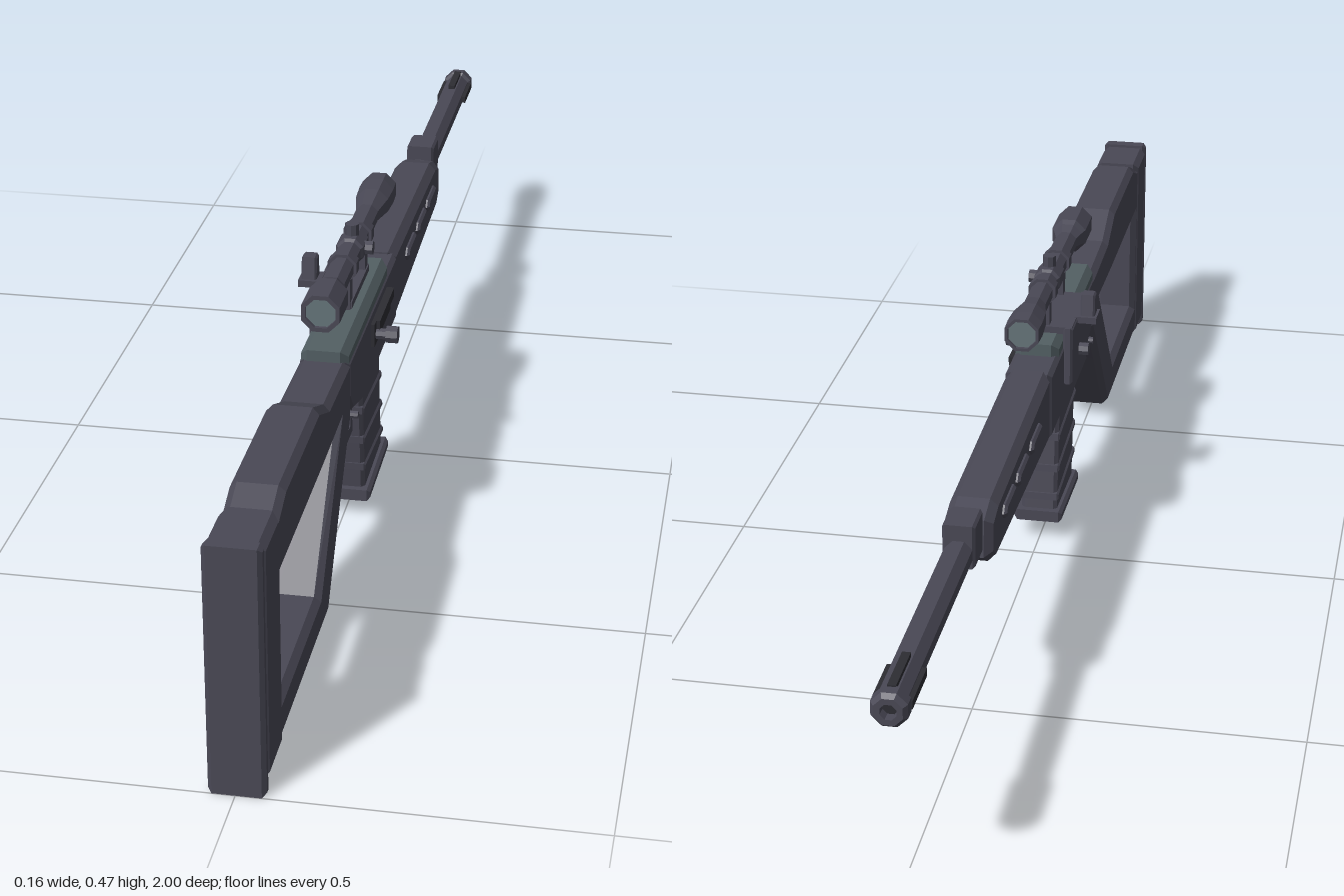
import * as THREE from 'three';

const mat = (name, color) => {
  const m = new THREE.MeshStandardMaterial({ color, flatShading: true });
  m.name = name;
  return m;
};

export function createModel() {
  const body = mat('darkSlate', 0x4a4956);
  const cover = mat('greenGrey', 0x536064);
  const glass = mat('lensGrey', 0x66757a);
  const black = mat('nearBlack', 0x2d2d33);

  const group = new THREE.Group();
  group.name = 'rifle';
  const CX = 0.002;

  const add = (name, geo, material = body) => {
    const m = new THREE.Mesh(geo, material);
    m.name = name;
    group.add(m);
    return m;
  };

  // Side profile in [z, y], extruded across x between x0 and x1 with chamfered edges
  const outline = (pts, Type) => new Type(pts.map(([z, y]) => new THREE.Vector2(-z, y)));
  const slab = (name, pts, x0, x1, bevel = 0.01, material = body, hole) => {
    const shape = outline(pts, THREE.Shape);
    if (hole) shape.holes.push(outline(hole, THREE.Path));
    const geo = new THREE.ExtrudeGeometry(shape, {
      depth: x1 - x0 - 2 * bevel, bevelEnabled: bevel > 0, bevelSegments: 1,
      bevelSize: bevel, bevelThickness: bevel, bevelOffset: -bevel,
    });
    geo.rotateY(Math.PI / 2).translate(x0 + bevel, 0, 0);
    return add(name, geo, material);
  };
  const rect = (z0, z1, y0, y1) => [[z0, y0], [z1, y0], [z1, y1], [z0, y1]];
  const box = (name, x0, x1, y0, y1, z0, z1, material = body) =>
    add(name, new THREE.BoxGeometry(x1 - x0, y1 - y0, z1 - z0)
      .translate((x0 + x1) / 2, (y0 + y1) / 2, (z0 + z1) / 2), material);

  // Eight-sided turned part along z, profile in [radius, z] with z rising
  const turned = (name, pts, y, material = body) =>
    add(name, new THREE.LatheGeometry(pts.map(p => new THREE.Vector2(...p)), 8, Math.PI / 8)
      .rotateX(Math.PI / 2).translate(CX, y, 0), material);
  // Short cylinder along x or y
  const peg = (name, r, len, axis, x, y, z, material = body) => {
    const geo = new THREE.CylinderGeometry(r, r, len, 8);
    if (axis === 'x') geo.rotateZ(Math.PI / 2);
    return add(name, geo.translate(x, y, z), material);
  };

  // Skeleton stock with open centre
  slab('stock', [[0.97, 0.02], [0.555, 0.02], [0.445, 0.16], [0.37, 0.25], [0.37, 0.345],
    [0.535, 0.35], [0.61, 0.382], [0.84, 0.382], [0.89, 0.362], [0.97, 0.362]],
  -0.036, 0.04, 0.01, body, [[0.88, 0.08], [0.615, 0.08], [0.45, 0.28], [0.58, 0.273], [0.88, 0.273]]);
  slab('buttBlock', rect(0.887, 0.985, 0.016, 0.37), -0.038, 0.042);
  slab('buttPlate', rect(0.98, 1, 0, 0.375), -0.038, 0.042, 0.006);

  // Receiver and top cover
  slab('receiver', [[0.385, 0.345], [0.385, 0.285], [0.355, 0.25], [0.28, 0.228],
    [-0.035, 0.228], [-0.035, 0.342]], -0.036, 0.04, 0.007);
  slab('topCover', rect(0.035, 0.39, 0.328, 0.363), -0.034, 0.038, 0.011, cover);
  box('ejectionPort', 0.04, 0.046, 0.287, 0.325, 0.06, 0.205, black);
  box('boltCarrier', 0.04, 0.052, 0.31, 0.325, 0.06, 0.19, black);
  peg('boltHandleStem', 0.009, 0.03, 'x', 0.055, 0.303, 0.188);
  peg('boltHandleKnob', 0.014, 0.018, 'x', 0.071, 0.303, 0.188);
  peg('receiverPin', 0.006, 0.088, 'x', CX, 0.24, 0.345);

  // Handguard with raised side ribs
  slab('handguard', [[-0.03, 0.345], [-0.46, 0.335], [-0.505, 0.322], [-0.512, 0.265],
    [-0.48, 0.243], [-0.03, 0.224]], -0.034, 0.038, 0.012);
  for (const z of [-0.175, -0.285, -0.39]) {
    slab('handguardRib', [[z + 0.044, 0.297], [z + 0.034, 0.286], [z - 0.034, 0.286],
      [z - 0.044, 0.297], [z - 0.034, 0.308], [z + 0.034, 0.308]], -0.041, 0.045, 0.004);
  }

  // Barrel, gas block and slotted muzzle
  turned('barrel', [[0, -0.97], [0.022, -0.97], [0.022, -0.5], [0, -0.5]], 0.3);
  slab('gasBlock', rect(-0.57, -0.512, 0.277, 0.345), -0.022, 0.026, 0.004);
  turned('muzzleRing', [[0.012, -0.98], [0.012, -1], [0.021, -1], [0.027, -0.993],
    [0.027, -0.975], [0.018, -0.97]], 0.3);
  turned('bore', [[0, -0.985], [0.013, -0.985]], 0.3, black);
  for (let i = 0; i < 4; i++) {
    const a = i * Math.PI / 2;
    const fin = new THREE.BoxGeometry(0.012, 0.012, 0.085).translate(0, 0.021, 0);
    add('muzzleFin', fin.rotateZ(a).translate(CX, 0.3, -0.935), black);
  }

  // Magazine, leaning forward, with ribs and floor plate
  slab('magazine', [[0.24, 0.25], [0.215, 0.04], [0.06, 0.04], [0.085, 0.25]], -0.028, 0.032, 0.006);
  for (const y of [0.185, 0.13, 0.08]) {
    const z = 0.15 + (y - 0.145) * 0.12;
    slab('magazineRib', [[z + 0.082, y + 0.012], [z + 0.081, y], [z - 0.081, y - 0.012],
      [z - 0.08, y]], -0.031, 0.035, 0.003);
  }
  slab('magazineBase', [[0.226, 0.027], [0.226, 0.046], [0.05, 0.052], [0.05, 0.033]],
    -0.038, 0.042, 0.005);

  // Trigger and guard
  box('triggerGuardBar', -0.014, 0.018, 0.16, 0.176, 0.245, 0.455);
  box('triggerGuardPost', -0.014, 0.018, 0.16, 0.235, 0.245, 0.26);
  slab('trigger', [[0.372, 0.25], [0.365, 0.21], [0.358, 0.18], [0.345, 0.18], [0.348, 0.21],
    [0.342, 0.25]], -0.006, 0.01, 0.002);

  // Scope mount clamped to the side
  slab('mountPlate', rect(0.08, 0.24, 0.275, 0.374), -0.05, -0.034, 0.004);
  box('mountArm', -0.048, 0.016, 0.362, 0.374, 0.085, 0.235);
  peg('mountKnob', 0.011, 0.018, 'x', -0.057, 0.31, 0.15);
  box('leverShelf', -0.081, -0.045, 0.364, 0.375, 0.13, 0.17);
  slab('leverTab', [[0.165, 0.372], [0.135, 0.372], [0.14, 0.411], [0.16, 0.411]],
    -0.077, -0.053, 0.003);

  // Scope tube, lenses, turrets and rings
  const SY = 0.432;
  turned('scope', [[0.024, -0.08], [0.024, -0.09], [0.029, -0.09], [0.03, -0.06], [0.028, -0.02],
    [0.019, 0.025], [0.019, 0.315], [0.026, 0.335], [0.031, 0.345], [0.031, 0.41],
    [0.024, 0.41], [0.024, 0.4]], SY);
  turned('frontLens', [[0, -0.084], [0.0245, -0.084]], SY, glass);
  turned('rearLens', [[0.0245, 0.404], [0, 0.404]], SY, glass);
  turned('turretCollar', [[0.019, 0.13], [0.023, 0.135], [0.023, 0.175], [0.019, 0.18]], SY);
  peg('topTurret', 0.011, 0.035, 'y', CX, 0.453, 0.155);
  peg('sideTurret', 0.011, 0.03, 'x', CX + 0.018, SY, 0.155);
  for (const z of [0.1, 0.23]) {
    turned('scopeRing', [[0.019, z - 0.011], [0.024, z - 0.011], [0.024, z + 0.011],
      [0.019, z + 0.011]], SY);
    box('ringPost', -0.01, 0.014, 0.362, 0.42, z - 0.01, z + 0.01);
  }

  return group;
}
